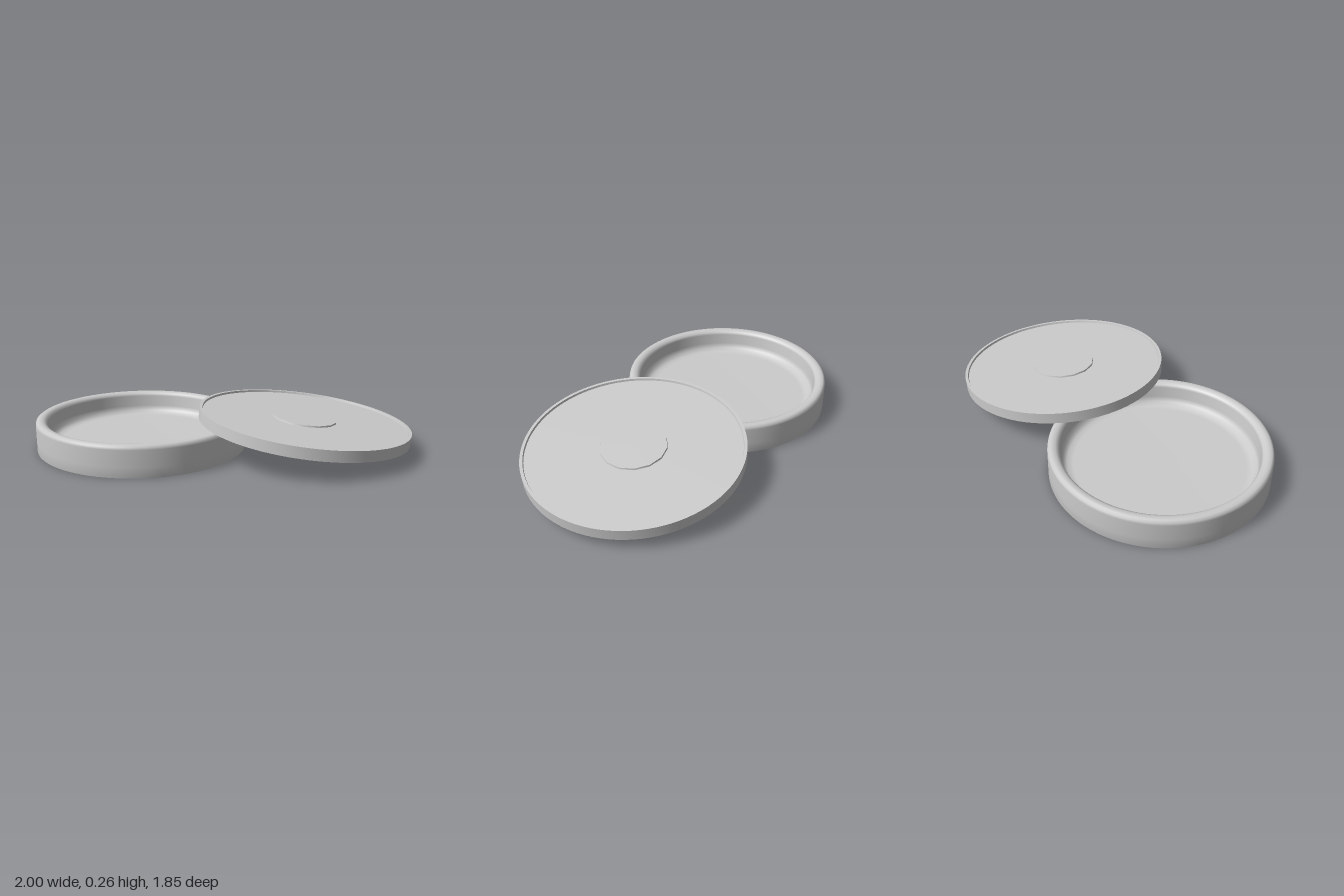
import * as THREE from 'three';
import { toCreasedNormals } from 'three/addons/utils/BufferGeometryUtils.js';

const material = new THREE.MeshStandardMaterial({ color: 0xcccccc });

// Revolves [radius, height] pairs, ordered from the underside outward, up and back in
function lathe(name, profile, sides) {
  const points = profile.map(([r, y]) => new THREE.Vector2(r, y));
  const mesh = new THREE.Mesh(new THREE.LatheGeometry(points, sides), material);
  mesh.name = name;
  return mesh;
}

function crease(mesh) {
  mesh.geometry = toCreasedNormals(mesh.geometry, Math.PI / 6);
  return mesh;
}

export function createModel() {
  const model = new THREE.Group();
  model.name = 'dishWithLid';

  // Round dish: softly shaded wall, rounded rim, filleted inner floor
  const dish = lathe('dish', [
    [0, 0], [0.61, 0], [0.62, 0], [0.62, 0.06], [0.62, 0.155],
    [0.617, 0.17], [0.605, 0.179], [0.59, 0.18], [0.575, 0.178], [0.56, 0.17],
    [0.552, 0.155], [0.55, 0.09], [0.54, 0.06], [0.515, 0.043], [0.48, 0.04], [0, 0.04],
  ], 96);
  dish.position.set(-0.38, 0, 0.3);
  model.add(dish);

  // Lid leaning on the dish rim, sloping down to the back left
  const lid = new THREE.Group();
  lid.name = 'lid';
  lid.add(crease(lathe('lidPlate', [
    [0, -0.032], [0.62, -0.032], [0.62, 0.032], [0.603, 0.032], [0.6, 0.02], [0, 0.02],
  ], 96)));

  // Low faceted boss in the middle of the lid
  const boss = crease(lathe('lidBoss', [[0.19, 0.018], [0.187, 0.029], [0, 0.029]], 14));
  boss.rotation.y = Math.PI / 14;
  lid.add(boss);

  const normal = new THREE.Vector3(0.077, 1, -0.077).normalize();
  lid.quaternion.setFromUnitVectors(new THREE.Vector3(0, 1, 0), normal);
  lid.position.set(0.375, 0.16, -0.305);
  model.add(lid);

  return model;
}
